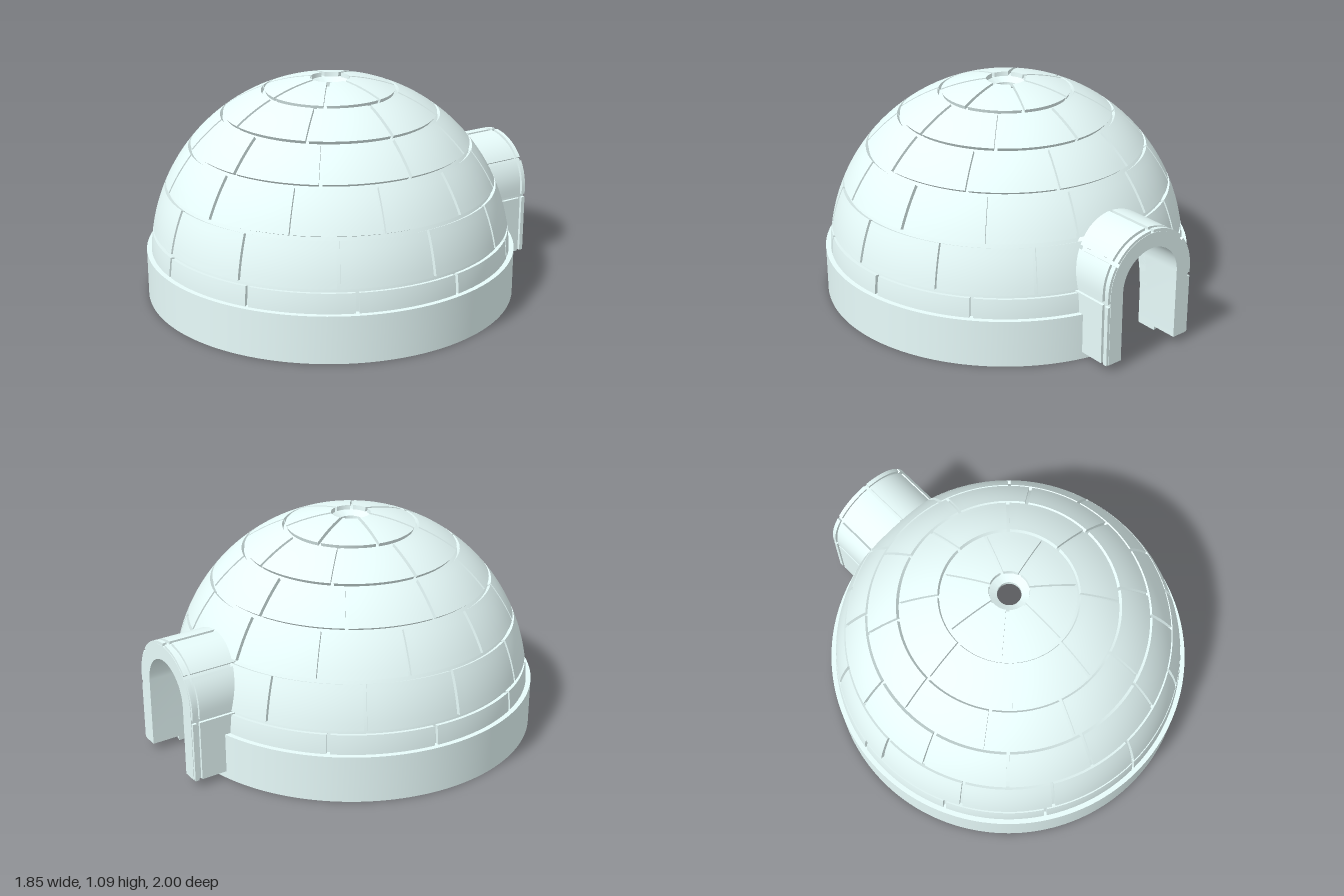
import * as THREE from 'three';
import { toCreasedNormals } from 'three/addons/utils/BufferGeometryUtils.js';

const DEG = Math.PI / 180, TAU = Math.PI * 2;
const CY = 0.19;               // height of the dome's centre
const INNER = 0.835;           // radius of the dome's inside
const DOOR = Math.PI - 0.09;   // heading of the entrance
const OPEN = 0.17;             // half width of the doorway
const SPRING = 0.388;          // height where the arch begins

const snow = new THREE.MeshStandardMaterial({ color: 0xe8fcfb });

function add(parent, name, geometry) {
  const mesh = new THREE.Mesh(geometry, snow);
  mesh.name = name;
  parent.add(mesh);
}

// Bends a unit box around the y axis; rule(u, v, w) gives [azimuth, radius, height]
function bend(nu, nv, rule) {
  const geo = new THREE.BoxGeometry(1, 1, 1, nu, nv, 1);
  const p = geo.attributes.position;
  for (let i = 0; i < p.count; i++) {
    const [a, r, y] = rule(p.getX(i) + 0.5, p.getY(i) + 0.5, p.getZ(i) + 0.5);
    p.setXYZ(i, r * Math.sin(a), y, r * Math.cos(a));
  }
  geo.computeVertexNormals();
  return geo;
}

// Azimuth running all the way round except for a straight-sided gap at the door
function aroundDoor(u, r, halfGap) {
  const a = Math.asin(halfGap / r);
  return a + u * (TAU - 2 * a);
}

// One snow block: a patch of thin spherical shell, inset so joints keep an even width
function block(a0, a1, e0, e1) {
  return bend(10, 6, (u, v, w) => {
    const e = e0 + v * (e1 - e0), R = 0.875 + 0.027 * w;
    const inset = 0.009 / Math.cos(e);
    return [a0 + inset + u * (a1 - a0 - 2 * inset), R * Math.cos(e), CY + R * Math.sin(e)];
  });
}

// Point on the arch: t is an angle over the curve, a distance down either leg
function archPoint(r, t) {
  if (t < 0) return new THREE.Vector2(r, SPRING + t);
  if (t > Math.PI) return new THREE.Vector2(-r, SPRING - (t - Math.PI));
  return new THREE.Vector2(r * Math.cos(t), SPRING + r * Math.sin(t));
}

// Stretch of arch extruded outward; with startR its inner end is fitted to the dome
function arch(rIn, rOut, t0, t1, z0, z1, startR) {
  const ts = [t0];
  for (let i = 0; i <= 28; i++) {
    const t = i / 28 * Math.PI;
    if (t > t0 && t < t1) ts.push(t);
  }
  ts.push(t1);
  const outer = ts.map(t => archPoint(rOut, t));
  const inner = ts.map(t => archPoint(rIn, t)).reverse();
  const geo = new THREE.ExtrudeGeometry(new THREE.Shape([...outer, ...inner]),
    { depth: z1 - z0, bevelEnabled: false, steps: 1 });
  geo.translate(0, 0, z0);
  const p = geo.attributes.position;
  for (let i = 0; startR && i < p.count; i++) {
    if (p.getZ(i) > z0 + 0.001) continue;
    const x = p.getX(i), h = Math.max(0, p.getY(i) - CY);
    p.setZ(i, Math.sqrt(startR * startR - h * h - x * x));
  }
  return toCreasedNormals(geo, 0.5);
}

export function createModel() {
  const model = new THREE.Group();
  model.name = 'igloo';
  const body = new THREE.Group();
  body.name = 'body';
  body.position.z = 0.074;
  body.rotation.y = DOOR;   // inside this group the entrance faces +z
  model.add(body);

  // Plain ring at the foot, interrupted behind the tunnel's legs
  add(body, 'baseRing', bend(160, 1, (u, v, w) => {
    const r = 0.82 + 0.105 * w;
    return [aroundDoor(u, r, 0.19), r, 0.235 * v];
  }));

  // Inner shell: lower part leaves the doorway free, upper part is full
  const split = 26.5 * DEG, foot = 2.8 * DEG;
  add(body, 'lowerShell', bend(160, 10, (u, v, w) => {
    const e = foot + v * (split - foot), R = INNER + (0.882 - INNER) * w;
    const r = R * Math.cos(e);
    return [aroundDoor(u, r, OPEN), r, CY + R * Math.sin(e)];
  }));
  const arc = (R, e0, e1) => Array.from({ length: 21 }, (_, i) => {
    const e = e0 + (e1 - e0) * i / 20;
    return new THREE.Vector2(R * Math.cos(e), CY + R * Math.sin(e));
  });
  // Smoke hole: a funnel above a short straight bore
  const hole = Math.acos(0.058 / INNER);
  const profile = [
    ...arc(0.882, split, 83.6 * DEG),
    new THREE.Vector2(0.058, 1.045),
    ...arc(INNER, hole, split),
  ];
  profile.push(profile[0].clone());
  add(body, 'upperShell', toCreasedNormals(new THREE.LatheGeometry(profile, 160), 0.5));

  // Courses of blocks: [lowest, highest elevation, count, first joint, meets door]
  const courses = [
    [2.5, 9, 11, -5, true],
    [10.2, 24, 12, -5, true],
    [25.2, 39, 12, 10, false],
    [40.2, 53.2, 10, 13, false],
    [54.4, 68, 8, -4, false],
    [69.2, 83.8, 7, -3, false],
  ];
  const clip = 0.215;   // half angle kept free at the entrance
  const blocks = new THREE.Group();
  blocks.name = 'domeBlocks';
  body.add(blocks);
  for (const [lo, hi, n, first, meetsDoor] of courses) {
    for (let i = 0; i < n; i++) {
      const a0 = ((first * DEG - DOOR + i * TAU / n) % TAU + TAU) % TAU;
      const a1 = a0 + TAU / n;
      const pieces = meetsDoor
        ? [[Math.max(a0, clip), Math.min(a1, TAU - clip)], [TAU + clip, a1]]
        : [[a0, a1]];
      for (const [b0, b1] of pieces)
        if (b1 - b0 > 0.03) add(blocks, 'snowBlock', block(b0, b1, lo * DEG, hi * DEG));
    }
  }

  // Entrance tunnel: arched core faced with thin blocks and an end rim
  const tunnel = new THREE.Group();
  tunnel.name = 'entranceTunnel';
  body.add(tunnel);
  const legEnd = -0.352, end = 1.056;
  add(tunnel, 'tunnelCore', arch(OPEN, 0.245, legEnd, Math.PI - legEnd, 0.5, end, 0.85));
  const joints = [legEnd, -0.043, 40 * DEG, 90 * DEG, 145 * DEG, Math.PI + 0.043, Math.PI - legEnd];
  const halfGap = j => {
    if (j === 0 || j === joints.length - 1) return 0;
    return joints[j] > 0 && joints[j] < Math.PI ? 0.036 : 0.009;
  };
  for (let i = 0; i < joints.length - 1; i++) {
    const t0 = joints[i] + halfGap(i), t1 = joints[i + 1] - halfGap(i + 1);
    add(tunnel, 'tunnelBlock', arch(0.24, 0.259, t0, t1, 0.5, 1.017, 0.86));
    add(tunnel, 'rimBlock', arch(0.24, 0.259, t0, t1, 1.033, end - 0.002, 0));
  }
  return model;
}
